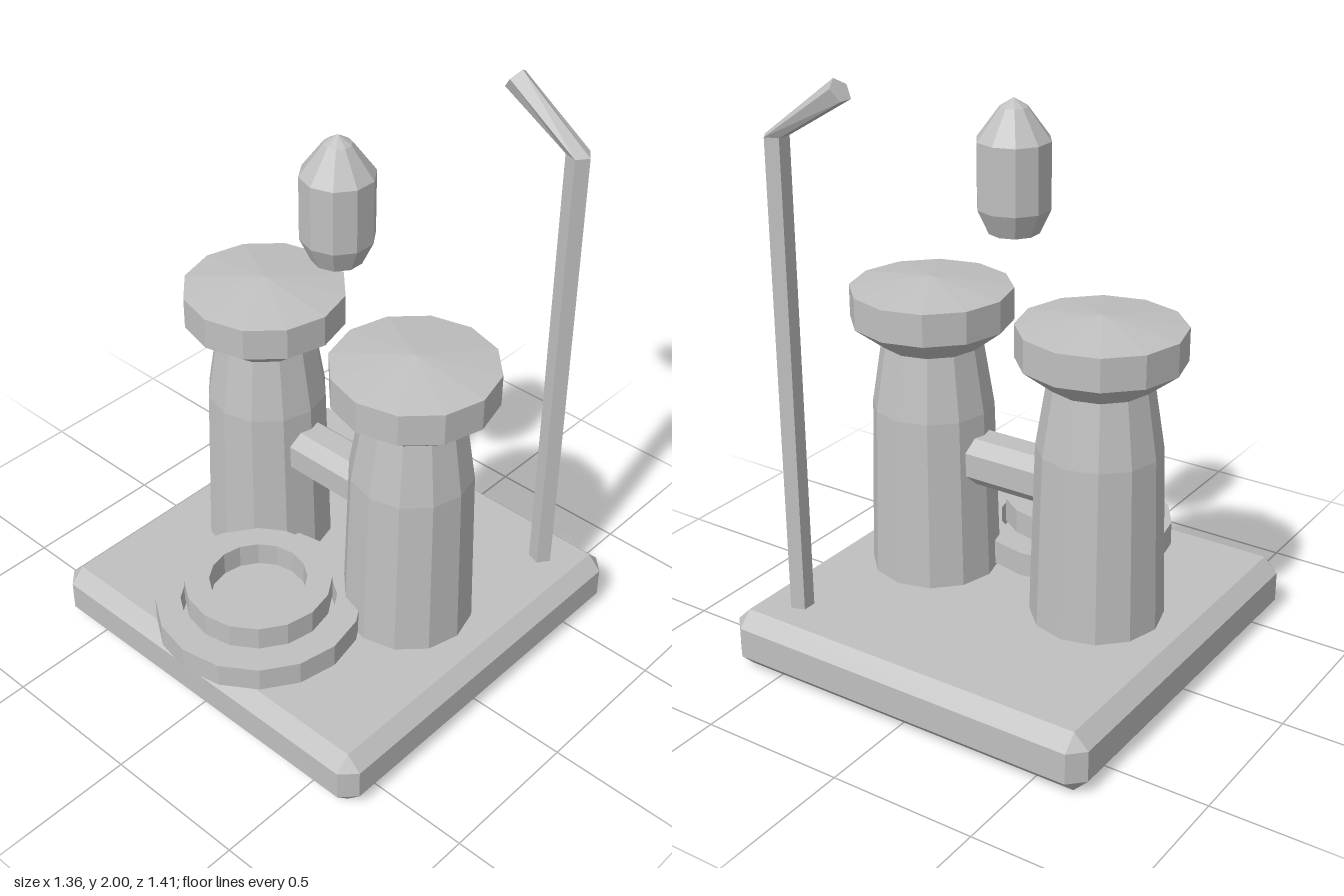
import * as THREE from 'three';
import { ConvexGeometry } from 'three/addons/geometries/ConvexGeometry.js';

const stone = new THREE.MeshStandardMaterial({ color: 0xc0c0c0, flatShading: true });
stone.name = 'stone grey';

const Z0 = -0.025; // centre line of the plinth, columns and flame

function part(name, geometry, x = 0, y = 0, z = 0) {
  const mesh = new THREE.Mesh(geometry, stone);
  mesh.name = name;
  mesh.position.set(x, y, z);
  return mesh;
}

// Faceted solid of revolution; the profile runs upwards as [radius, height]
function turned(profile, sides) {
  return new THREE.LatheGeometry(profile.map(([r, y]) => new THREE.Vector2(r, y)), sides);
}

// Square-cut ring
function ring(inner, outer, bottom, top, sides) {
  return turned([[inner, bottom], [outer, bottom], [outer, top], [inner, top], [inner, bottom]], sides);
}

// Box with every edge cut at an angle
function chamferedBox(hx, hy, hz, c) {
  const points = [];
  for (const sx of [-1, 1]) for (const sy of [-1, 1]) for (const sz of [-1, 1]) {
    points.push(
      new THREE.Vector3(sx * hx, sy * (hy - c), sz * (hz - c)),
      new THREE.Vector3(sx * (hx - c), sy * hy, sz * (hz - c)),
      new THREE.Vector3(sx * (hx - c), sy * (hy - c), sz * hz)
    );
  }
  return new ConvexGeometry(points);
}

// Five-sided bent rod made from tilted cross-sections
function bentRod(sections, radius, sides) {
  const positions = [];
  const index = [];
  for (const { x, y, tilt } of sections) {
    for (let i = 0; i < sides; i++) {
      const a = (i / sides) * Math.PI * 2;
      const u = radius * Math.cos(a);
      positions.push(x + u * Math.cos(tilt), y + u * Math.sin(tilt), radius * Math.sin(a));
    }
  }
  for (let s = 0; s < sections.length - 1; s++) {
    for (let i = 0; i < sides; i++) {
      const j = (i + 1) % sides;
      const a = s * sides + i, b = s * sides + j;
      index.push(a, a + sides, b, b, a + sides, b + sides);
    }
  }
  // End caps
  const last = (sections.length - 1) * sides;
  for (let i = 1; i < sides - 1; i++) {
    index.push(0, i, i + 1);
    index.push(last, last + i + 1, last + i);
  }
  const geometry = new THREE.BufferGeometry();
  geometry.setAttribute('position', new THREE.Float32BufferAttribute(positions, 3));
  geometry.setIndex(index);
  geometry.computeVertexNormals();
  return geometry;
}

export function createModel() {
  const model = new THREE.Group();
  model.name = 'columnShrine';

  // Plinth
  model.add(part('plinth', chamferedBox(0.68, 0.1025, 0.68, 0.05), 0, 0.1025, Z0));

  // Pair of columns with flared caps
  const shaft = turned([[0, 0.2], [0.222, 0.2], [0.205, 0.8], [0.17, 1.02], [0, 1.02]], 12);
  const cap = turned([[0, 1.02], [0.17, 1.02], [0.272, 1.1], [0.272, 1.21], [0, 1.245]], 12);
  for (const [side, x] of [['left', 0.325], ['right', -0.325]]) {
    const column = new THREE.Group();
    column.name = side + 'Column';
    column.position.set(x, 0, Z0);
    column.add(part('shaft', shaft), part('cap', cap));
    model.add(column);
  }

  // Bar joining the columns
  model.add(part('crossbar', chamferedBox(0.22, 0.0825, 0.0825, 0.041), 0, 0.643, Z0));

  // Stepped rings at the front
  model.add(part('lowerRing', ring(0.262, 0.346, 0.215, 0.3, 16), 0, 0, 0.359));
  model.add(part('upperRing', ring(0.163, 0.247, 0.3, 0.385, 16), 0, 0, 0.359));

  // Floating faceted bulb
  const bulb = [[0, 1.455], [0.083, 1.455], [0.12, 1.535], [0.12, 1.75], [0.045, 1.852], [0, 1.88]];
  model.add(part('floatingBulb', turned(bulb, 10), 0, 0, Z0));

  // Bent pole at the back
  const pole = bentRod([
    { x: 0.509, y: 0.2, tilt: 0 },
    { x: 0.509, y: 1.8, tilt: 0 },
    { x: 0.256, y: 1.967, tilt: 0.94 }
  ], 0.041, 5);
  model.add(part('bentPole', pole, 0, 0, -0.533));

  return model;
}
